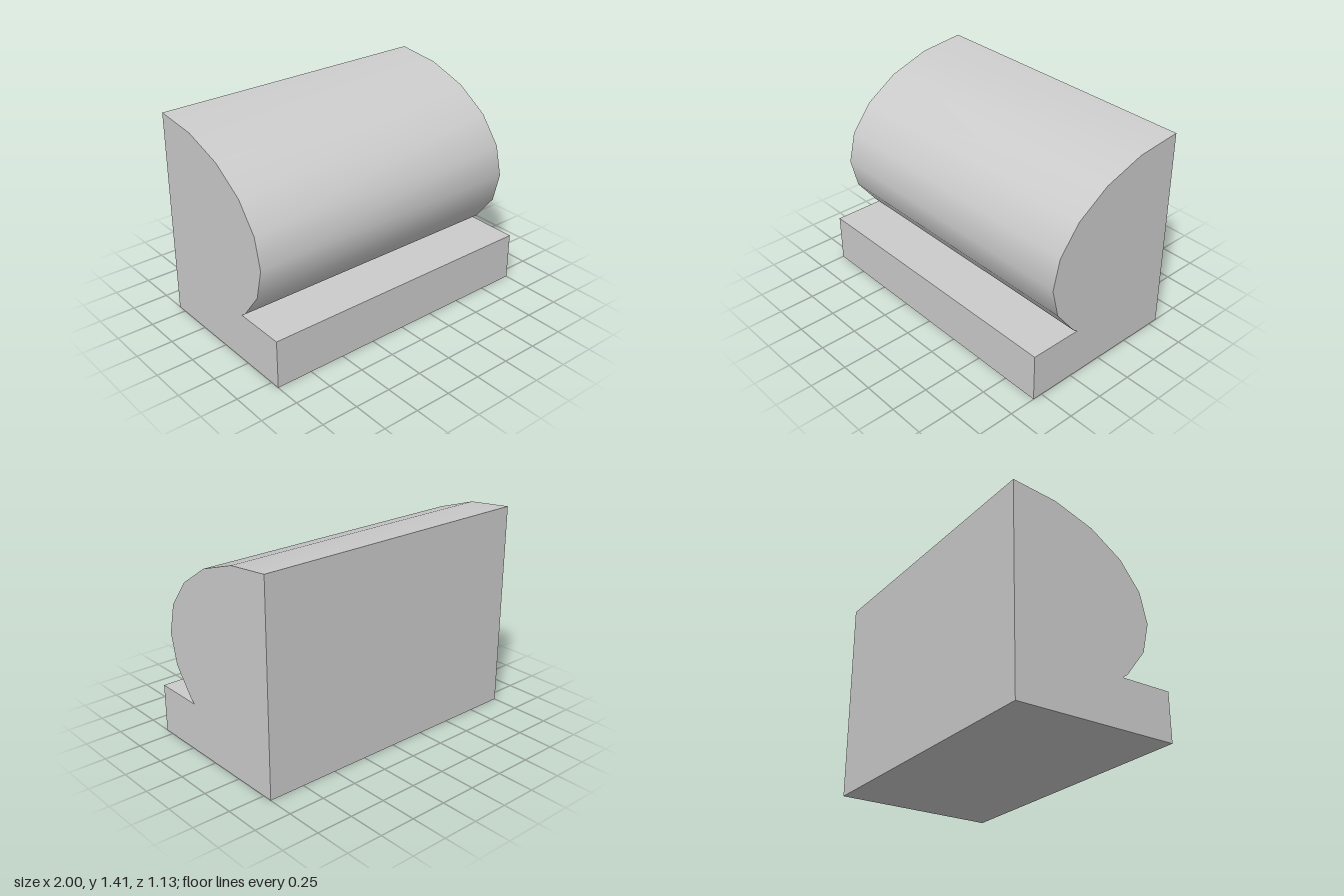
import * as THREE from 'three';
import { toCreasedNormals } from 'three/addons/utils/BufferGeometryUtils.js';

const WIDTH = 2, BACK = -0.567, FRONT = 0.567, BASE_TOP = 0.333;

export function createModel() {
  const group = new THREE.Group();
  const material = new THREE.MeshStandardMaterial({ color: 0xcccccc });

  // Flat slab underneath
  const depth = FRONT - BACK;
  const base = new THREE.Mesh(new THREE.BoxGeometry(WIDTH, BASE_TOP, depth), material);
  base.name = 'base';
  base.position.y = BASE_TOP / 2;
  group.add(base);

  // Rounded body: half-ellipse section in 18 degree steps, cut off at the slab
  const centreY = 0.75, radiusZ = 1.002, radiusY = 0.665;
  const section = new THREE.Shape();
  section.moveTo(BACK, BASE_TOP);
  section.lineTo(0.207, BASE_TOP);
  for (let i = -2; i <= 5; i++) {
    const a = (i * Math.PI) / 10;
    section.lineTo(BACK + radiusZ * Math.cos(a), centreY + radiusY * Math.sin(a));
  }
  section.closePath();

  // Turn the section so it runs along x, and smooth only the curved side
  const geometry = new THREE.ExtrudeGeometry(section, { depth: WIDTH, bevelEnabled: false });
  geometry.rotateY(-Math.PI / 2).translate(WIDTH / 2, 0, 0);
  const body = new THREE.Mesh(toCreasedNormals(geometry, 0.7), material);
  body.name = 'roundedBody';
  group.add(body);

  return group;
}
